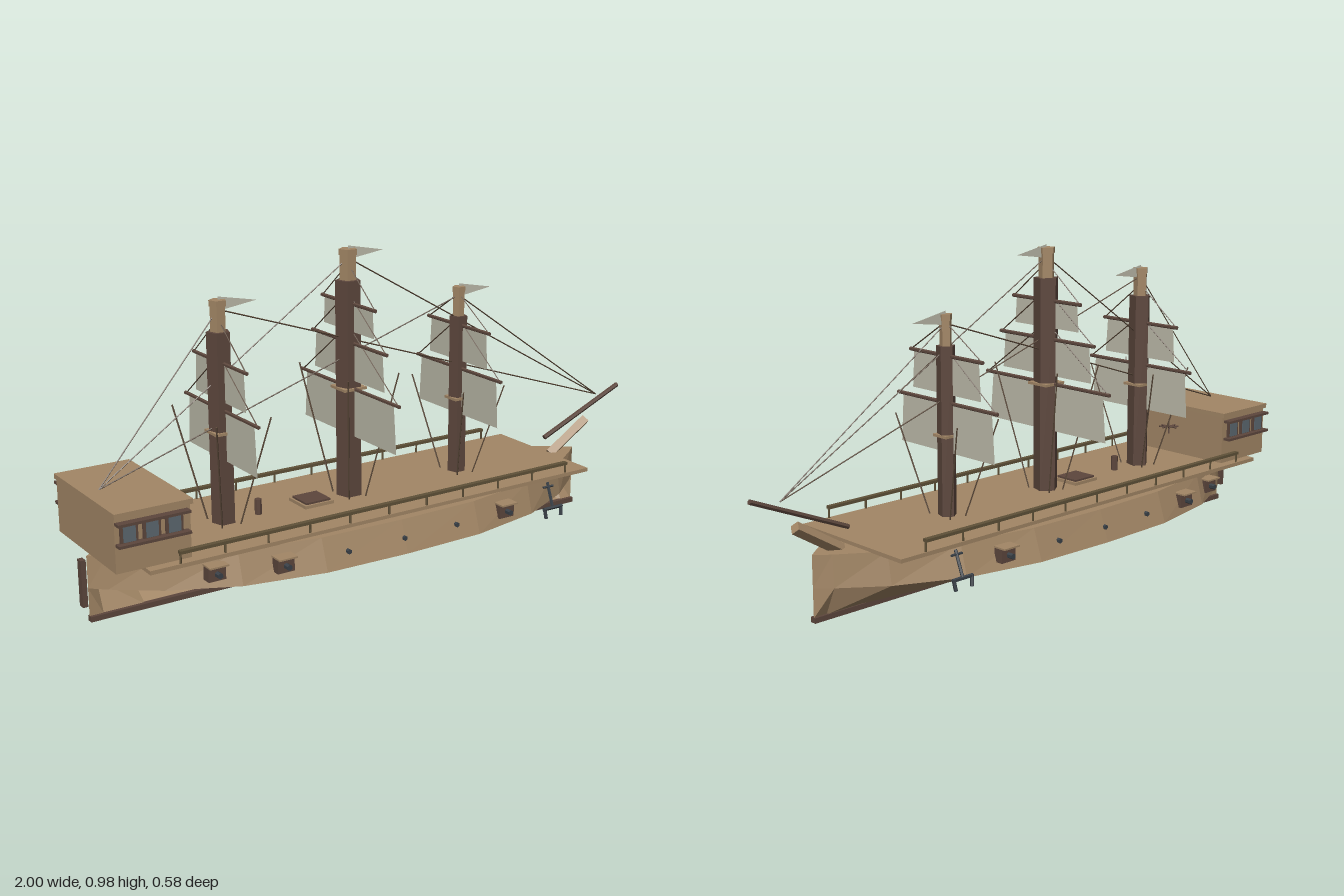
import * as THREE from 'three';

const mat = (name, color, side = THREE.FrontSide) => {
  const m = new THREE.MeshStandardMaterial({ color, side, flatShading: true });
  m.name = name;
  return m;
};

export function createModel() {
  const ship = new THREE.Group();
  ship.name = 'sailingShip';
  const wood = mat('tan wood', 0xa38766, THREE.DoubleSide);
  const dark = mat('dark wood', 0x5d473d);
  const sailMat = mat('sail cloth', 0xbdbbaa, THREE.DoubleSide);
  const rope = mat('rope', 0x5a4838);
  const iron = mat('iron', 0x3a4148);
  const glass = mat('window glass', 0x5c6870);
  const railMat = mat('rail', 0x5f5138);
  const V = (x, y, z) => new THREE.Vector3(x, y, z);

  const add = (name, geo, m, x = 0, y = 0, z = 0, parent = ship) => {
    const mesh = new THREE.Mesh(geo, m);
    mesh.name = name;
    mesh.position.set(x, y, z);
    parent.add(mesh);
    return mesh;
  };
  // box given by its limits
  const box = (name, m, x0, x1, y0, y1, z0, z1, parent = ship) =>
    add(name, new THREE.BoxGeometry(x1 - x0, y1 - y0, z1 - z0), m,
      (x0 + x1) / 2, (y0 + y1) / 2, (z0 + z1) / 2, parent);
  // round bar between two points
  const strut = (name, m, a, b, r, sides = 5, parent = ship) => {
    const d = b.clone().sub(a);
    const mesh = add(name, new THREE.CylinderGeometry(r, r, d.length(), sides), m, 0, 0, 0, parent);
    mesh.position.copy(a).add(b).multiplyScalar(0.5);
    mesh.quaternion.setFromUnitVectors(V(0, 1, 0), d.normalize());
    return mesh;
  };
  const flat = (name, m, pts, parent) => {
    const g = new THREE.BufferGeometry().setFromPoints(pts);
    g.setIndex(pts.length === 3 ? [0, 1, 2] : [0, 1, 2, 0, 2, 3]);
    g.computeVertexNormals();
    return add(name, g, m, 0, 0, 0, parent);
  };

  // Hull: pointed at both ends, widest at the chine, narrowing to the deck
  const beam = (x) => 0.288 * Math.max(0, 1 - Math.abs((x + 0.088) / 0.89) ** 3);
  const sideZ = (x, y) => beam(x) * (1 - 0.12 * (y - 0.1) / 0.1);
  const hullPts = [];
  const quad = (a, b, c, d) => hullPts.push(a, b, c, a, c, d);
  const N = 10;
  for (let i = 0; i < N; i++) {
    const xs = [i, i + 1].map((k) => -0.088 - 0.89 * Math.cos((Math.PI * k) / N));
    const at = (k, y, s) => V(xs[k], y, y < 0.05 ? 0 : s * sideZ(xs[k], y));
    quad(at(0, 0.1, 1), at(1, 0.1, 1), at(1, 0.197, 1), at(0, 0.197, 1));
    quad(at(1, 0.1, -1), at(0, 0.1, -1), at(0, 0.197, -1), at(1, 0.197, -1));
    quad(at(1, 0.012, -1), at(0, 0.012, -1), at(0, 0.1, -1), at(1, 0.1, -1));
    quad(at(0, 0.197, 1), at(1, 0.197, 1), at(1, 0.197, -1), at(0, 0.197, -1));
  }
  const hullGeo = new THREE.BufferGeometry().setFromPoints(hullPts);
  hullGeo.computeVertexNormals();
  add('hull', hullGeo, wood);
  box('keel', dark, -0.978, 0.805, 0, 0.016, -0.01, 0.01);
  box('rudder', dark, -1, -0.985, 0.05, 0.19, -0.012, 0.012);
  box('deck', wood, -0.89, 0.67, 0.196, 0.208, -0.225, 0.225);

  // Stern cabin with windows on both sides
  box('cabin', wood, -0.975, -0.75, 0.208, 0.366, -0.195, 0.195);
  box('cabinRoof', wood, -0.978, -0.745, 0.366, 0.381, -0.205, 0.205);
  for (const s of [-1, 1]) {
    for (const x of [-0.935, -0.868, -0.801]) {
      add('windowFrame', new THREE.BoxGeometry(0.052, 0.06, 0.008), dark, x, 0.319, s * 0.198);
      add('windowPane', new THREE.BoxGeometry(0.036, 0.046, 0.006), glass, x, 0.319, s * 0.202);
    }
    for (const y of [0.29, 0.35])
      add('windowSill', new THREE.BoxGeometry(0.215, 0.008, 0.025), dark, -0.866, y, s * 0.207);
  }

  // Railings
  for (const s of [-1, 1]) {
    box('rail', railMat, -0.8, 0.58, 0.236, 0.245, s * 0.22 - 0.008, s * 0.22 + 0.008);
    for (let i = 0; i <= 10; i++)
      strut('railPost', railMat, V(-0.797 + i * 0.1375, 0.205, s * 0.22), V(-0.797 + i * 0.1375, 0.238, s * 0.22), 0.0035);
  }

  // Masts: lower x, lower top, radius, topmast top, shroud top and spread, yards as [height, half length, sail drop]
  const masts = [
    { name: 'mizzenMast', x: -0.545, h: 0.78, r: 0.036, top: 0.868, ring: 0.485, sh: 0.545, sx: 0.087,
      yards: [[0.55, 0.22, 0.15], [0.69, 0.16, 0.115]] },
    { name: 'mainMast', x: -0.108, h: 0.88, r: 0.04, top: 0.97, ring: 0.55, sh: 0.61, sx: 0.09,
      yards: [[0.55, 0.27, 0.15], [0.69, 0.205, 0.115], [0.81, 0.147, 0.085]] },
    { name: 'foreMast', x: 0.305, h: 0.72, r: 0.029, top: 0.81, ring: 0.453, sh: 0.51, sx: 0.08,
      yards: [[0.55, 0.22, 0.15], [0.69, 0.16, 0.115]] },
  ];
  const bowEnd = V(0.9, 0.37, 0), sternEnd = V(-0.93, 0.382, 0);
  for (const { name, x, h, r, top, ring, sh, sx, yards } of masts) {
    const g = new THREE.Group();
    g.name = name;
    ship.add(g);
    const prism = (n, m, rad, y0, y1) =>
      add(n, new THREE.CylinderGeometry(rad, rad, y1 - y0, 5), m, x, (y0 + y1) / 2, 0, g).rotateY(Math.PI);
    prism('lowerMast', dark, r, 0.2, h);
    prism('topMast', wood, r * 0.64, h, top);
    prism('mastCap', wood, r * 0.72, top - 0.015, top + 0.003);
    box('mastBand', wood, x - r, x + r, ring - 0.004, ring + 0.004, -r, r, g);
    flat('pennant', sailMat, [V(x, top + 0.012, 0), V(x, top - 0.03, 0), V(x + 0.125, top - 0.012, 0)], g);
    for (const [y, w, drop] of yards) {
      strut('yard', dark, V(x, y, -w), V(x, y, w), 0.006, 6, g);
      flat('sail', sailMat, [V(x, y, w * 0.89), V(x, y, -w * 0.89), V(x, y - drop, -w * 0.94), V(x, y - drop, w * 0.94)], g);
      for (const s of [-1, 1])
        strut('yardLift', rope, V(x, y, s * w * 0.98), V(x, Math.min(y + 0.6 * w + 0.03, top - 0.02), 0), 0.002, 4, g);
    }
    // Four shrouds spreading from the mast foot
    for (const a of [-1, 1]) for (const b of [-1, 1])
      strut('shroud', rope, V(x + a * 0.03, 0.205, b * 0.045), V(x + a * sx, sh, b * 0.137), 0.0028, 4, g);
    // Stays to both ends of the ship
    for (const end of [bowEnd, sternEnd]) strut('stay', rope, V(x, top - 0.025, 0), end, 0.002, 4, g);
  }

  // Bowsprit and beakhead beam
  strut('bowsprit', dark, V(0.675, 0.252, 0), V(0.997, 0.389, 0), 0.008, 6);
  strut('beakheadBeam', wood, V(0.7, 0.19, 0), V(0.855, 0.287, 0), 0.019, 4);

  // Deck fittings
  box('hatchCoaming', wood, -0.295, -0.195, 0.208, 0.218, -0.048, 0.048);
  box('hatchCover', dark, -0.288, -0.202, 0.218, 0.224, -0.041, 0.041);
  strut('capstan', dark, V(-0.43, 0.206, 0), V(-0.43, 0.255, 0), 0.011, 8);
  const wheel = new THREE.Group();
  wheel.name = 'helm';
  wheel.position.set(-0.705, 0.31, 0);
  ship.add(wheel);
  strut('helmAxle', dark, V(0, -0.025, 0), V(0, 0.025, 0), 0.003, 4, wheel);
  for (let i = 0; i < 4; i++) {
    const a = (i * Math.PI) / 4, d = V(0.033 * Math.cos(a), 0, 0.033 * Math.sin(a));
    strut('helmSpoke', dark, d.clone().negate(), d, 0.0025, 4, wheel);
  }

  for (const s of [-1, 1]) {
    // Gun ports and scuppers along the hull
    for (const x of [-0.68, -0.49, 0.305]) {
      const z = sideZ(x, 0.145);
      add('gunPort', new THREE.BoxGeometry(0.055, 0.045, 0.03), dark, x, 0.147, s * z);
      add('gunPortLid', new THREE.BoxGeometry(0.06, 0.005, 0.045), wood, x, 0.17, s * (z + 0.008));
      strut('gunBarrel', iron, V(x, 0.145, s * z), V(x, 0.145, s * (z + 0.035)), 0.009, 6);
    }
    for (const x of [-0.285, -0.09, 0.105]) {
      const z = sideZ(x, 0.145);
      strut('scupper', iron, V(x, 0.145, s * (z - 0.01)), V(x, 0.145, s * (z + 0.006)), 0.008, 6);
    }
    // Anchors hanging at the bow
    const low = V(0.487, 0.122, s * 0.27);
    strut('anchorShank', iron, V(0.487, 0.198, s * 0.24), low, 0.005);
    strut('anchorArms', iron, V(0.45, 0.122, s * 0.27), V(0.525, 0.122, s * 0.27), 0.006);
    for (const d of [-1, 1])
      strut('anchorFluke', iron, V(0.487 + d * 0.034, 0.124, s * 0.27), V(0.487 + d * 0.03, 0.092, s * 0.275), 0.006);
    strut('anchorStock', iron, V(0.467, 0.185, s * 0.245), V(0.507, 0.185, s * 0.245), 0.004);
  }
  return ship;
}
